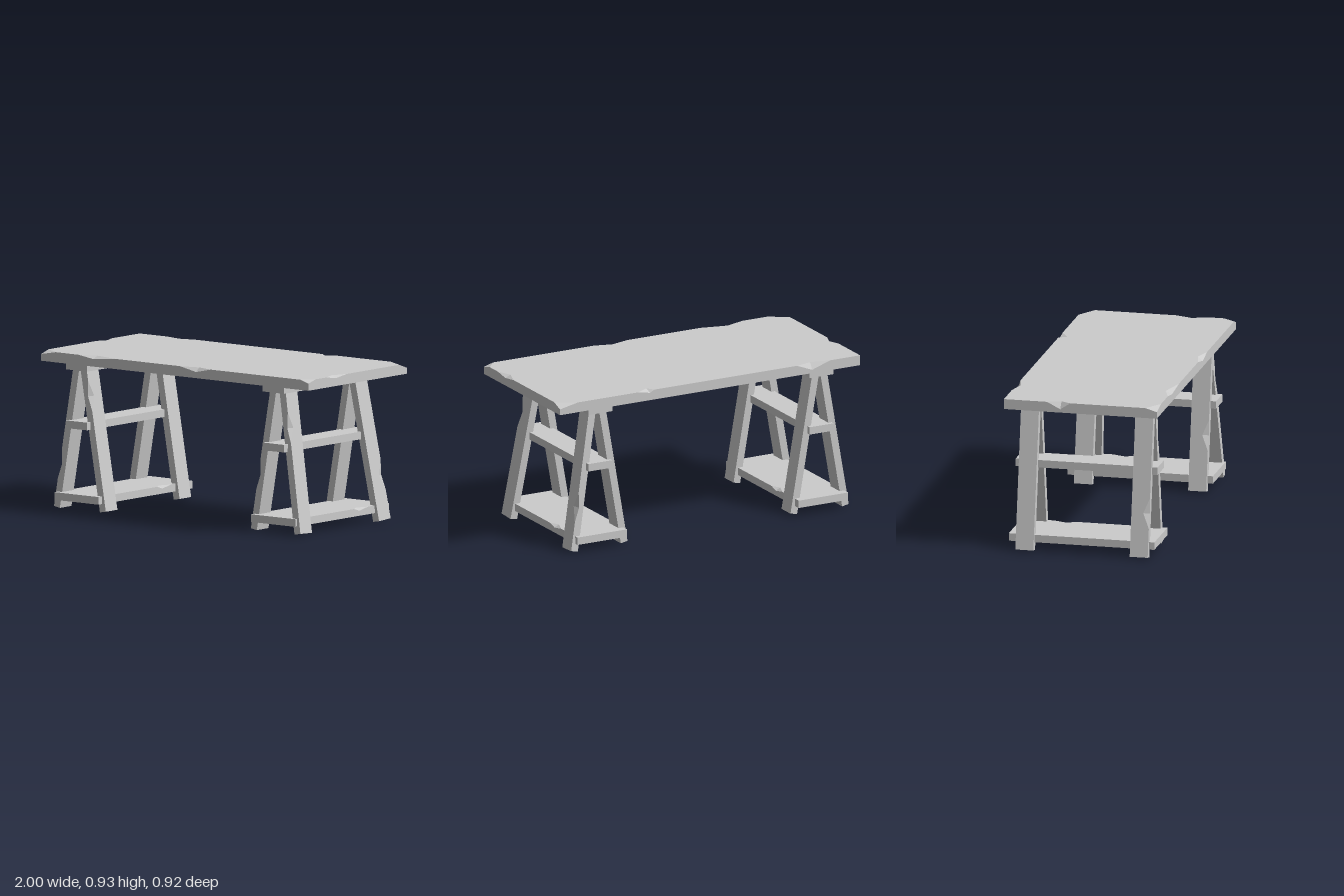
import * as THREE from 'three';

const material = new THREE.MeshStandardMaterial({ color: 0xcccccc, flatShading: true });

// Rough plank whose upper rim can be chipped. Sides run 0 front, 1 right, 2 back, 3 left.
// chips: [side, from, deepest, to, inward, down], measured along the side from its middle.
// corners: { side: [before, after, down] }, the corner cut off at the end of that side.
function plank(name, w, h, d, chips = [], corners = {}) {
  const top = [], rim = [], floor = [];
  const at = (side, u, inset, y) => {
    const r = (side % 2 ? w : d) / 2 - inset;
    return [
      new THREE.Vector3(u, y, r), new THREE.Vector3(r, y, -u),
      new THREE.Vector3(-u, y, -r), new THREE.Vector3(-r, y, u),
    ][side];
  };
  const add = (t, r) => {
    top.push(t);
    rim.push(r);
    floor.push(new THREE.Vector3(r.x, -h / 2, r.z));
  };
  for (let side = 0; side < 4; side++) {
    for (const [s, a, m, b, inward, down] of chips) {
      if (s !== side) continue;
      add(at(side, a, 0, h / 2), at(side, a, 0, h / 2));
      add(at(side, m, inward, h / 2), at(side, m, 0, h / 2 - down));
      add(at(side, b, 0, h / 2), at(side, b, 0, h / 2));
    }
    const next = (side + 1) % 4;
    const end = (side % 2 ? d : w) / 2, start = -(next % 2 ? d : w) / 2;
    const [before, after, down] = corners[side] || [0, 0, 0];
    const p = at(side, end - before, 0, h / 2), q = at(next, start + after, 0, h / 2);
    if (down) add(p, p);
    add(p.clone().lerp(q, 0.5), at(side, end, 0, h / 2 - down));
    if (down) add(q, q);
  }

  const points = [];
  const loft = (low, high) => low.forEach((_, i) => {
    const j = (i + 1) % low.length;
    points.push(low[i], low[j], high[j], low[i], high[j], high[i]);
  });
  loft(floor, rim);
  loft(rim, top);
  const outline = top.map((v) => new THREE.Vector2(v.x, -v.z));
  for (const tri of THREE.ShapeUtils.triangulateShape(outline, [])) {
    points.push(...tri.map((i) => top[i]));
  }
  const base = [0, 1, 2, 3].map((s) => at(s, (s % 2 ? d : w) / 2, 0, -h / 2));
  points.push(base[0], base[2], base[1], base[0], base[3], base[2]);

  const geometry = new THREE.BufferGeometry().setFromPoints(points);
  geometry.computeVertexNormals();
  const mesh = new THREE.Mesh(geometry, material);
  mesh.name = name;
  return mesh;
}

// Leaning leg: s is its side in x, f its end in z, chip = [edge in z, height] on the outer face
function leg(s, f, splayed, chip) {
  const foot = new THREE.Vector3(s * 0.172, 0.008, f > 0 ? 0.339 : -0.346);
  const head = new THREE.Vector3(s * 0.026, 0.845, foot.z);
  if (splayed) {
    foot.z = f > 0 ? 0.361 : -0.37;
    head.z = f > 0 ? 0.32 : -0.324;
  }
  const length = foot.distanceTo(head);
  const chips = [];
  if (chip) {
    const side = chip[0] * s > 0 ? 1 : 3;
    const u = (chip[1] - 0.425) * (side === 1 ? -1 : 1);
    chips.push([side, u - 0.09, u, u + 0.09, 0.037, 0.016]);
  }
  const mesh = plank((f > 0 ? 'front' : 'back') + (s > 0 ? 'Left' : 'Right') + 'Leg', 0.108, 0.045, length, chips);
  const up = head.clone().sub(foot).normalize();
  const out = new THREE.Vector3(s, 0, 0);
  out.addScaledVector(up, -out.dot(up)).normalize();
  mesh.quaternion.setFromRotationMatrix(
    new THREE.Matrix4().makeBasis(out.clone().cross(up), out, up));
  mesh.position.copy(foot).lerp(head, 0.5);
  return mesh;
}

// Trestle: cap board, two shelves and four legs
function trestle(name, x, splayedSide, legChips) {
  const group = new THREE.Group();
  group.name = name;
  group.position.x = x;
  const board = (mesh, y, z = 0) => {
    mesh.position.set(0, y, z);
    group.add(mesh);
  };
  board(plank('capBoard', 0.16, 0.04, 0.85), 0.85);
  board(plank('middleShelf', 0.16, 0.045, 0.85), 0.507);
  board(plank('lowerShelf', 0.33, 0.045, 0.872, [[1, 0.11, 0.16, 0.24, 0.03, 0.015]]), 0.077, -0.01);
  for (const s of [1, -1]) {
    for (const f of [1, -1]) group.add(leg(s, f, s === splayedSide, legChips[`${s},${f}`]));
  }
  return group;
}

export function createModel() {
  const model = new THREE.Group();
  model.name = 'trestleTable';

  // Table top with a chipped rim
  const tableTop = plank('tableTop', 2, 0.06, 0.916, [
    [0, -0.72, -0.61, -0.44, 0.04, 0.016],
    [0, 0.04, 0.16, 0.27, 0.03, 0.024],
    [1, -0.29, -0.2, -0.1, 0.035, 0.014],
    [2, -0.48, -0.4, -0.37, 0.045, 0.015],
    [2, 0.58, 0.68, 0.8, 0.025, 0.04],
    [3, -0.2, -0.12, -0.06, 0.03, 0.04],
  ], {
    0: [0.06, 0.07, 0.018],
    1: [0.07, 0.12, 0.025],
    3: [0.07, 0.11, 0.02],
  });
  // corner 0 is front +x, 1 back +x, 3 front -x
  tableTop.position.y = 0.9;
  model.add(tableTop);

  model.add(trestle('leftTrestle', 0.712, 1, { '1,1': [1, 0.62], '1,-1': [-1, 0.26], '-1,1': [1, 0.33] }));
  model.add(trestle('rightTrestle', -0.762, 0, { '1,1': [1, 0.68], '-1,1': [1, 0.26] }));
  return model;
}
